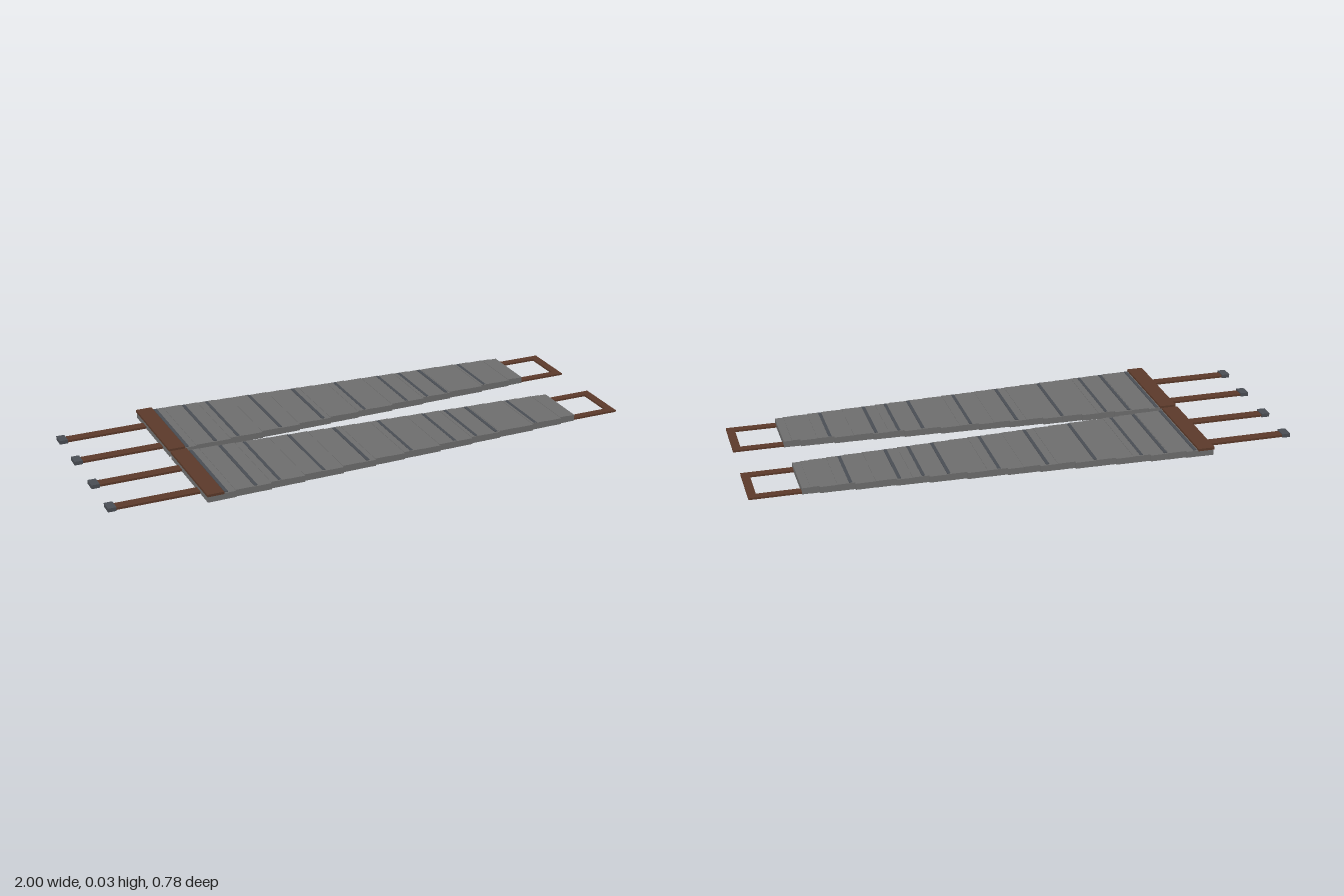
import * as THREE from 'three';

export function createModel() {
  const grey = new THREE.MeshStandardMaterial({ name: 'slat grey', color: 0x6e6e6e });
  const brown = new THREE.MeshStandardMaterial({ name: 'leather brown', color: 0x5c3a2a });
  const steel = new THREE.MeshStandardMaterial({ name: 'dark steel', color: 0x4a4e54 });

  // box given by its limits along x, y and z
  const box = (parent, name, mat, x0, x1, y0, y1, z0, z1) => {
    const mesh = new THREE.Mesh(new THREE.BoxGeometry(x1 - x0, y1 - y0, z1 - z0), mat);
    mesh.position.set((x0 + x1) / 2, (y0 + y1) / 2, (z0 + z1) / 2);
    mesh.name = name;
    parent.add(mesh);
  };

  // half width of the tapering panel at x
  const halfWidth = (x) => 0.188 - 0.0565 * (x + 0.67);
  const steps = [-0.67, -0.567, -0.433, -0.305, -0.155, -0.027, 0.09, 0.235, 0.37, 0.487, 0.63, 0.754, 0.815];
  const bands = [-0.6, -0.49, -0.4, -0.23, -0.055, 0.12, 0.3, 0.39, 0.475, 0.645];

  const makePanel = (name) => {
    const panel = new THREE.Group();
    panel.name = name;

    // stepped slats, two per step, the second slightly lower and narrower
    for (let i = 0; i < steps.length - 1; i++) {
      const a = steps[i], b = steps[i + 1], m = (a + b) / 2;
      const w = halfWidth(a);
      box(panel, 'slat', grey, a, m, 0, 0.025, -w, w);
      box(panel, 'lowerSlat', grey, m, b, 0, 0.0235, -w + 0.001, w - 0.001);
    }

    // dark strips across the slats
    for (const x of bands) {
      const w = halfWidth(x) - 0.002;
      box(panel, 'crossStrip', steel, x - 0.006, x + 0.006, 0.018, 0.0258, -w, w);
    }

    // wide end binding
    box(panel, 'endBinding', brown, -0.672, -0.611, 0.022, 0.031, -0.191, 0.191);

    // two straps with metal tips, and the side rails of the loop
    for (const s of [-1, 1]) {
      const z = s * 0.096;
      box(panel, 'strap', brown, -0.975, -0.66, 0.001, 0.009, z - 0.019, z + 0.019);
      box(panel, 'strapTip', steel, -1, -0.97, 0, 0.014, z - 0.024, z + 0.024);
      const r = s * 0.088;
      box(panel, 'loopRail', brown, 0.8, 0.97, 0.001, 0.008, r - 0.015, r + 0.015);
    }
    box(panel, 'loopEnd', brown, 0.97, 1, 0.001, 0.008, -0.103, 0.103);
    return panel;
  };

  const model = new THREE.Group();
  model.name = 'slattedPanels';
  for (const [name, z] of [['frontPanel', 0.199], ['backPanel', -0.199]]) {
    const panel = makePanel(name);
    panel.position.z = z;
    model.add(panel);
  }
  return model;
}
